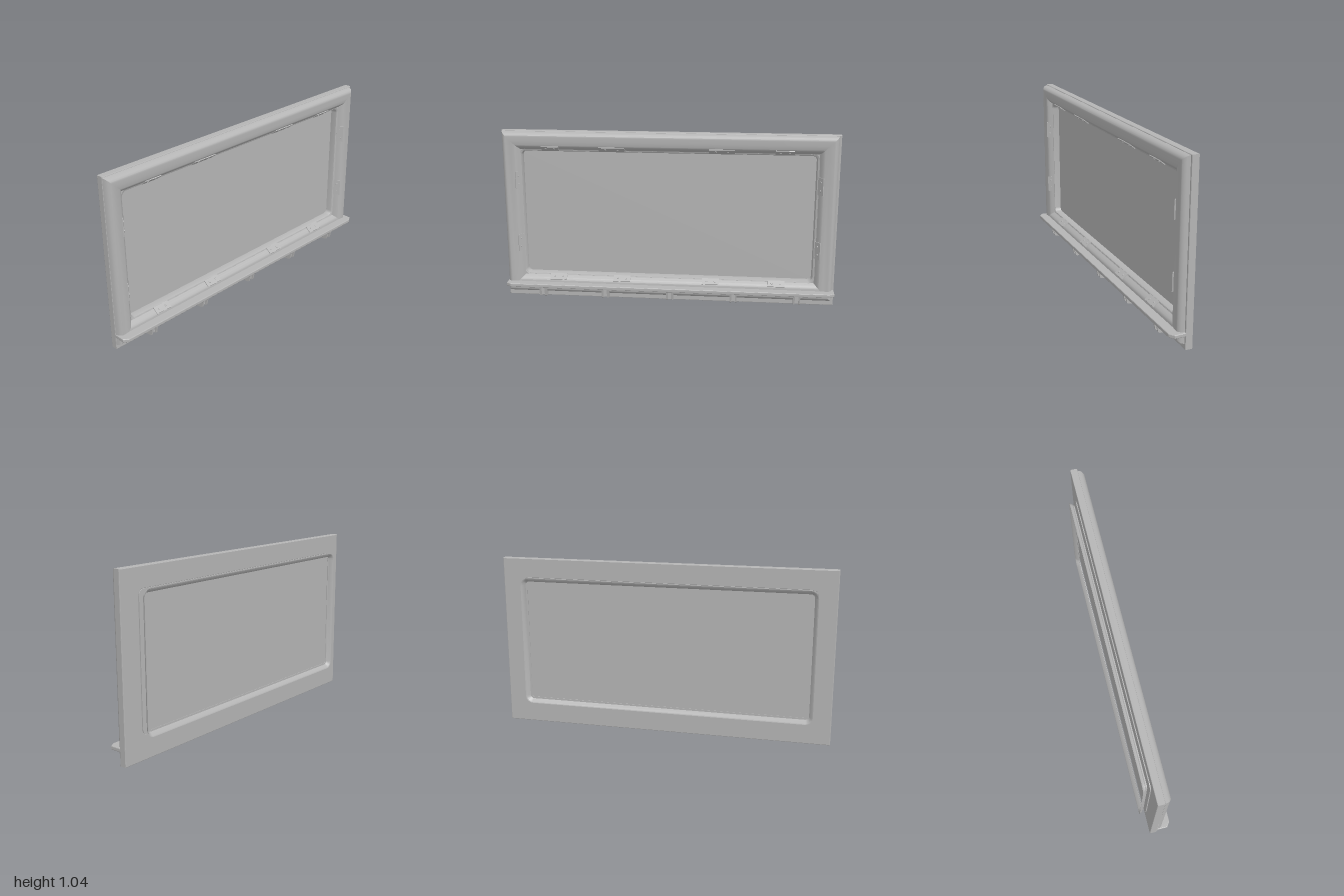
import * as THREE from 'three';
import { toCreasedNormals } from 'three/addons/utils/BufferGeometryUtils.js';

const grey = new THREE.MeshStandardMaterial({ color: 0xb4b4b4, side: THREE.DoubleSide });
grey.name = 'grey';

const toPoints = list => list.map(q => new THREE.Vector2(...q));

// Counter-clockwise rectangle inset by d, with optional corner radius
function ring(r, d, radius) {
  const x0 = r.x0 + d, x1 = r.x1 - d, y0 = r.y0 + d, y1 = r.y1 - d;
  if (!radius) return [[x0, y0], [x1, y0], [x1, y1], [x0, y1]];
  const k = Math.max(radius - d, 0.008), pts = [];
  const centres = [[x0 + k, y0 + k], [x1 - k, y0 + k], [x1 - k, y1 - k], [x0 + k, y1 - k]];
  centres.forEach(([cx, cy], q) => {
    for (let i = 0; i <= 4; i++) {
      const a = Math.PI + (q + i / 4) * Math.PI / 2;
      pts.push([cx + k * Math.cos(a), cy + k * Math.sin(a)]);
    }
  });
  return pts;
}

// Runs a profile of [inset, z] points round a rectangle
function frameGeometry(rect, profile, radius = 0) {
  const rings = profile.map(([d, z]) => ring(rect, d, radius).map(([x, y]) => [x, y, z]));
  const pos = [];
  for (let i = 0; i < rings.length - 1; i++) {
    const n = rings[i].length;
    for (let j = 0; j < n; j++) {
      const a = rings[i][j], b = rings[i][(j + 1) % n];
      const c = rings[i + 1][(j + 1) % n], d = rings[i + 1][j];
      pos.push(...a, ...b, ...c, ...a, ...c, ...d);
    }
  }
  const g = new THREE.BufferGeometry();
  g.setAttribute('position', new THREE.Float32BufferAttribute(pos, 3));
  return toCreasedNormals(g, 0.6);
}

export function createModel() {
  const group = new THREE.Group();
  const add = (name, geometry, parent = group) => {
    const m = new THREE.Mesh(geometry, grey);
    m.name = name;
    parent.add(m);
    return m;
  };

  // Flat back frame with a rounded opening
  const opening = { x0: -0.892, x1: 0.876, y0: 0.143, y1: 0.925 };
  const plate = new THREE.Shape(toPoints(ring({ x0: -1, x1: 1, y0: 0.003, y1: 1.04 }, 0.004, 0)));
  plate.holes.push(new THREE.Path(toPoints(ring(opening, 0, 0.035).reverse())));
  const plateGeo = new THREE.ExtrudeGeometry(plate, {
    depth: 0.034, bevelEnabled: true, bevelSize: 0.004, bevelThickness: 0.004, bevelSegments: 2,
  });
  plateGeo.translate(0, 0, -0.038);
  add('backFrame', plateGeo);

  // Mitred moulding: rounded outer edge, broad face, steep slope into the opening
  add('moulding', frameGeometry({ x0: -0.998, x1: 0.988, y0: 0.033, y1: 1.035 }, [
    [0, 0], [0.005, 0.018], [0.012, 0.027], [0.022, 0.034], [0.03, 0.035],
    [0.055, 0.032], [0.08, 0.029], [0.09, 0.022], [0.1, 0.01], [0.109, -0.002],
  ]));

  // Lip lining the opening
  add('openingLip', frameGeometry(opening, [
    [-0.006, 0.002], [0.005, -0.002], [0.009, -0.01], [0.01, -0.042],
  ], 0.035));

  // Flat pane seated at the back of the opening
  const pane = new THREE.Shape(toPoints(ring(opening, 0.002, 0.035)));
  const paneGeo = new THREE.ExtrudeGeometry(pane, { depth: 0.006, bevelEnabled: false });
  paneGeo.translate(0, 0, -0.047);
  add('pane', paneGeo);

  // Rear rim that flares backwards
  add('rearRim', frameGeometry({ x0: -0.895, x1: 0.877, y0: 0.136, y1: 0.926 }, [
    [0.006, -0.083], [0, -0.085], [0.007, -0.078], [0.009, -0.07], [0.018, -0.065],
    [0.02, -0.058], [0.034, -0.058], [0.034, -0.061], [0.023, -0.061], [0.006, -0.083],
  ], 0.045));

  // Sill with clipped front corners
  const sill = new THREE.Shape(toPoints([
    [-0.996, 0], [-0.996, -0.062], [-0.968, -0.081], [0.968, -0.081], [0.996, -0.062], [0.996, 0],
  ]));
  const sillGeo = new THREE.ExtrudeGeometry(sill, {
    depth: 0.012, bevelEnabled: true, bevelSize: 0.004, bevelThickness: 0.005, bevelSegments: 3,
  });
  sillGeo.rotateX(-Math.PI / 2).translate(0, 0.084, 0);
  add('sill', sillGeo);

  // Brackets below the sill: two cheeks and a web
  const cheek = new THREE.Shape(toPoints([
    [0, 0.01], [0.044, 0.015], [0.053, 0.021], [0.066, 0.08], [0, 0.08],
  ]));
  const cheekGeo = new THREE.ExtrudeGeometry(cheek, { depth: 0.01, bevelEnabled: false });
  cheekGeo.translate(0, 0, -0.005).rotateY(-Math.PI / 2);
  for (const x of [-0.775, -0.385, 0.013, 0.4, 0.78]) {
    const bracket = new THREE.Group();
    bracket.name = 'sillBracket';
    bracket.position.x = x;
    for (const s of [-1, 1]) add('bracketCheek', cheekGeo, bracket).position.x = s * 0.016;
    add('bracketWeb', new THREE.BoxGeometry(0.03, 0.055, 0.042), bracket).position.set(0, 0.05, 0.022);
    group.add(bracket);
  }

  // Retaining clips: thin plates on the inner slope, each with two screws
  const screwGeo = new THREE.CylinderGeometry(0.006, 0.007, 0.003, 10).rotateX(Math.PI / 2);
  const clip = (x, y, length, turn) => {
    const side = new THREE.Group();
    side.name = 'retainingClip';
    side.position.set(x, y, 0.017);
    side.rotation.z = turn;
    const tilted = new THREE.Group();
    tilted.name = 'clipBody';
    tilted.rotation.x = -0.9;
    add('clipPlate', new THREE.BoxGeometry(length, 0.044, 0.005), tilted);
    for (const s of [-1, 1]) add('clipScrew', screwGeo, tilted).position.set(s * length * 0.24, 0, 0.004);
    side.add(tilted);
    group.add(side);
  };
  for (const x of [-0.68, -0.285, 0.26, 0.655]) clip(x, 0.134, 0.104, 0);
  for (const [x, l] of [[-0.705, 0.105], [-0.335, 0.155], [0.315, 0.15], [0.68, 0.11]]) {
    clip(x, 0.935, l, Math.PI);
  }
  for (const y of [0.74, 0.35]) {
    clip(-0.905, y, 0.105, -Math.PI / 2);
    clip(0.892, y, 0.105, Math.PI / 2);
  }

  return group;
}
